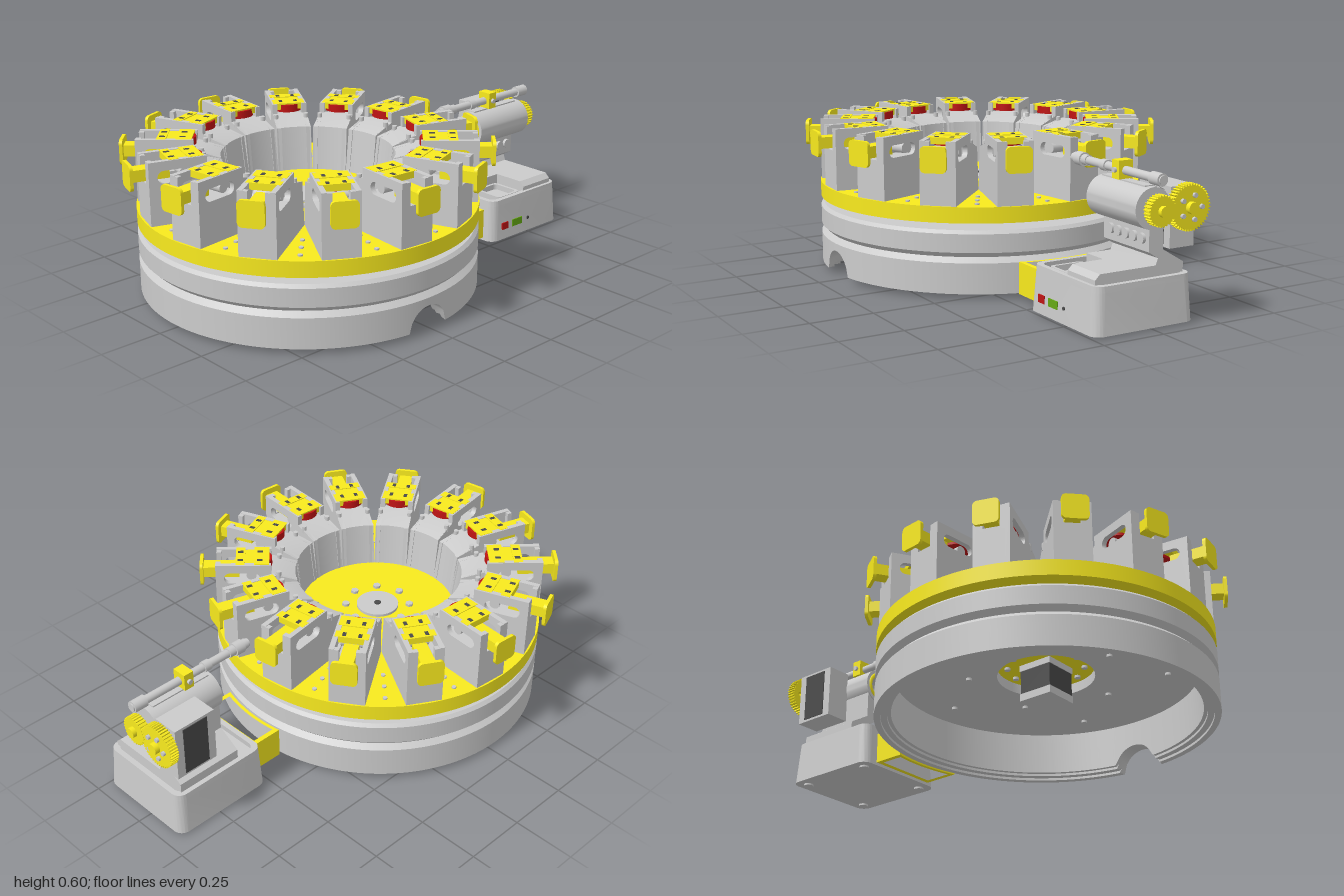
import * as THREE from 'three';
import { toCreasedNormals } from 'three/addons/utils/BufferGeometryUtils.js';

const mat = (c) => new THREE.MeshStandardMaterial({ color: c });
const grey = mat(0xcccccc), yellow = mat(0xf8ea1e), red = mat(0xc01414), green = mat(0x66aa14), dark = mat(0x4a4a4a);
const CX = -0.28; // turntable axis
const COUNT = 14;

function add(parent, name, geo, material, x = 0, y = 0, z = 0) {
  const m = new THREE.Mesh(geo, material);
  m.name = name;
  m.position.set(x, y, z);
  parent.add(m);
  return m;
}
// box given by its limits
function slab(parent, name, material, x0, x1, y0, y1, z0, z1) {
  return add(parent, name, new THREE.BoxGeometry(x1 - x0, y1 - y0, z1 - z0), material, (x0 + x1) / 2, (y0 + y1) / 2, (z0 + z1) / 2);
}
// cylinders along each axis
const cylY = (r, h, n = 24) => new THREE.CylinderGeometry(r, r, h, n);
const cylX = (r, h, n = 24) => cylY(r, h, n).rotateZ(Math.PI / 2);
const cylZ = (r, h, n = 24) => cylY(r, h, n).rotateX(Math.PI / 2);
const poly = (pts) => new THREE.Shape(pts.map((p) => new THREE.Vector2(...p)));
const extrude = (shape, depth, curveSegments = 8) => new THREE.ExtrudeGeometry(shape, { depth, bevelEnabled: false, curveSegments });
const lathe = (pts, n, ...arc) => new THREE.LatheGeometry(pts.map((p) => new THREE.Vector2(...p)), n, ...arc);

function roundedRect(w, h, r, C = THREE.Shape) {
  const s = new C(), a = w / 2 - r, b = h / 2 - r;
  s.absarc(a, b, r, 0, Math.PI / 2);
  s.absarc(-a, b, r, Math.PI / 2, Math.PI);
  s.absarc(-a, -b, r, Math.PI, Math.PI * 1.5);
  s.absarc(a, -b, r, Math.PI * 1.5, Math.PI * 2);
  s.closePath();
  return s;
}

function base(root) {
  const g = new THREE.Group();
  g.name = 'base';
  g.position.x = CX;
  root.add(g);
  // hollow drum with a V groove, stepped rim and a cable arch at the front
  const geo = lathe([[0.19, 0.25], [0.19, 0.21], [0.595, 0.21], [0.595, 0.04], [0.61, 0.04], [0.61, 0.03], [0.635, 0.03], [0.635, 0.02],
    [0.66, 0.02], [0.66, 0.14], [0.64, 0.16], [0.66, 0.18], [0.66, 0.252], [0.648, 0.265], [0.6, 0.265], [0.595, 0.25], [0.19, 0.25]], 360);
  const p = geo.attributes.position;
  for (let i = 0; i < p.count; i++) {
    const x = p.getX(i);
    if (p.getZ(i) > 0.5 && Math.abs(x) < 0.09) p.setY(i, Math.max(p.getY(i), 0.02 + Math.sqrt(0.0081 - x * x)));
  }
  add(g, 'drum', toCreasedNormals(geo, 0.5), grey);
  // drive motor hanging below the plate
  add(g, 'motorMount', cylY(0.2, 0.012, 48), yellow, 0, 0.256, 0);
  slab(g, 'motorBody', dark, -0.07, 0.07, 0.13, 0.23, -0.07, 0.07);
  slab(g, 'motorTopCap', grey, -0.073, 0.073, 0.225, 0.255, -0.073, 0.073);
  slab(g, 'motorBottomCap', grey, -0.073, 0.073, 0.1, 0.13, -0.073, 0.073);
  for (let i = 0; i < 10; i++) {
    const a = i * Math.PI / 5, r = i % 2 ? 0.3 : 0.47;
    add(g, 'baseScrew', cylY(0.012, 0.012, 10), grey, r * Math.cos(a), 0.206, r * Math.sin(a));
    add(g, 'mountScrew', cylY(0.012, 0.016, 10), grey, 0.15 * Math.cos(a), 0.248, 0.15 * Math.sin(a));
  }
}

function turntable(root) {
  const g = new THREE.Group();
  g.name = 'turntable';
  g.position.x = CX;
  root.add(g);
  add(g, 'disc', cylY(0.66, 0.062, 128), yellow, 0, 0.324, 0);
  add(g, 'hub', cylY(0.085, 0.012, 40), grey, 0, 0.36, 0);
  add(g, 'hubNut', cylY(0.014, 0.012, 12), dark, 0, 0.364, 0);
  add(g, 'spindle', cylY(0.02, 0.05, 32), grey, 0, 0.275, 0);
  for (let i = 0; i < 8; i++) {
    const a = i * Math.PI / 4, x = 0.13 * Math.cos(a), z = 0.13 * Math.sin(a);
    add(g, 'plateBolt', cylY(0.016, 0.012, 6), grey, x, 0.36, z);
    add(g, 'plateNut', cylY(0.017, 0.022, 6), grey, x, 0.284, z);
  }
  for (let k = 0; k < COUNT; k++) {
    const a = (17.9 * Math.PI) / 180 + (k * Math.PI * 2) / COUNT;
    const m = station();
    m.rotation.y = -a;
    g.add(m);
    const b = a + Math.PI / COUNT;
    for (const r of [0.47, 0.54, 0.61]) add(g, 'discScrew', cylY(0.009, 0.008, 8), grey, r * Math.cos(b), 0.357, r * Math.sin(b));
  }
}

// one holder, pointing outward along +x
function station() {
  const g = new THREE.Group();
  g.name = 'station';
  const outline = [[0.308, 0.355], [0.652, 0.355], [0.652, 0.6], [0.43, 0.6], [0.43, 0.56], [0.328, 0.53]];
  for (const s of [-1, 1]) {
    const side = poly(outline);
    const slot = new THREE.Path();
    slot.absarc(0.595, 0.54, 0.024, -Math.PI / 2, Math.PI / 2);
    slot.absarc(0.5, 0.54, 0.024, Math.PI / 2, Math.PI * 1.5);
    slot.closePath();
    side.holes.push(slot);
    add(g, 'sideWall', extrude(side, 0.02), grey, 0, 0, s * 0.06 - 0.01);
    // cheeks beside the tab opening
    slab(g, 'outerCheek', grey, 0.632, 0.652, 0.5, 0.598, s * 0.042 - 0.01, s * 0.042 + 0.01);
    add(g, 'topScrew', cylY(0.01, 0.03, 10), grey, 0.4, 0.552, s * 0.062);
  }
  // inner block with a face curved around the turntable axis, kept between the side walls
  const half = 0.222;
  const block = lathe([[0.45, 0.56], [0.43, 0.56], [0.335, 0.53], [0.314, 0.355]], 10, Math.PI / 2 - half, half * 2);
  const p = block.attributes.position;
  for (let i = 0; i < p.count; i++) p.setZ(i, THREE.MathUtils.clamp(p.getZ(i), -0.069, 0.069));
  add(g, 'innerBlock', toCreasedNormals(block, 0.5), innerGrey);
  slab(g, 'outerPlate', grey, 0.632, 0.652, 0.355, 0.51, -0.05, 0.05);
  slab(g, 'innerFloor', grey, 0.43, 0.635, 0.49, 0.505, -0.05, 0.05);
  add(g, 'roller', cylZ(0.02, 0.1, 20), grey, 0.51, 0.54, 0);
  add(g, 'redSeat', cylY(0.06, 0.03, 32), red, 0.487, 0.58, 0);
  // latch plates on top, with slots
  slab(g, 'latchPlate', yellow, 0.438, 0.498, 0.575, 0.601, -0.064, 0.064);
  slab(g, 'latchBridge', yellow, 0.498, 0.535, 0.575, 0.598, -0.05, 0.05);
  slab(g, 'latchFront', yellow, 0.535, 0.572, 0.575, 0.601, -0.064, 0.064);
  for (const s of [-1, 1]) for (const x of [0.475, 0.553]) slab(g, 'latchSlot', dark, x - 0.011, x + 0.011, 0.595, 0.602, s * 0.03 - 0.007, s * 0.03 + 0.007);
  // pull tab
  slab(g, 'tabStem', yellow, 0.56, 0.705, 0.52, 0.565, -0.028, 0.028);
  add(g, 'tabPlate', extrude(roundedRect(0.1, 0.1, 0.018), 0.013).rotateY(Math.PI / 2), yellow, 0.703, 0.54, 0);
  return g;
}
const innerGrey = new THREE.MeshStandardMaterial({ color: 0xcccccc, side: THREE.DoubleSide });

function gear(r, teeth, holes) {
  const pts = [];
  for (let i = 0; i < teeth; i++) {
    [[0, 0.92], [0.28, 0.92], [0.42, 1], [0.72, 1], [0.86, 0.92]].forEach(([t, k]) => {
      const a = ((i + t) / teeth) * Math.PI * 2;
      pts.push([r * k * Math.cos(a), r * k * Math.sin(a)]);
    });
  }
  const s = poly(pts);
  for (let i = 0; i < holes; i++) {
    const a = (i * Math.PI * 2) / holes, h = new THREE.Path();
    h.absarc(0.55 * r * Math.cos(a), 0.55 * r * Math.sin(a), 0.1 * r, 0, Math.PI * 2);
    s.holes.push(h);
  }
  return extrude(s, 0.035).rotateY(Math.PI / 2);
}

function controlBox(root) {
  const g = new THREE.Group();
  g.name = 'controlBox';
  root.add(g);
  const BX = 0.73, BZ = 0.035;
  // tapered housing with a raised rim
  const taper = (shape, y0, h) => {
    const geo = extrude(shape, h).rotateX(-Math.PI / 2).translate(0, y0, 0), p = geo.attributes.position;
    for (let i = 0; i < p.count; i++) {
      const k = 1 - (0.05 * p.getY(i)) / 0.18;
      p.setX(i, p.getX(i) * k);
      p.setZ(i, p.getZ(i) * k);
    }
    return toCreasedNormals(geo, 0.5);
  };
  add(g, 'housing', taper(roundedRect(0.43, 0.43, 0.04), 0.008, 0.152), grey, BX, 0, BZ);
  const rim = roundedRect(0.43, 0.43, 0.04);
  rim.holes.push(roundedRect(0.385, 0.385, 0.03, THREE.Path));
  add(g, 'housingRim', taper(rim, 0.16, 0.023), grey, BX, 0, BZ);
  const tray = roundedRect(0.13, 0.14, 0.02);
  tray.holes.push(roundedRect(0.105, 0.115, 0.015, THREE.Path));
  add(g, 'trayRim', extrude(tray, 0.025).rotateX(-Math.PI / 2), grey, 0.66, 0.158, 0.145);
  for (const x of [-1, 1]) for (const z of [-1, 1]) add(g, 'foot', cylY(0.02, 0.01, 20), grey, BX + x * 0.165, 0.005, BZ + z * 0.165);
  slab(g, 'redButton', red, 0.58, 0.618, 0.05, 0.08, 0.23, 0.25);
  slab(g, 'greenSwitch', green, 0.645, 0.705, 0.05, 0.08, 0.23, 0.25);
  add(g, 'knob', cylZ(0.007, 0.02, 12), dark, 0.745, 0.065, 0.24);

  // pedestal carrying the drive
  const side = poly([[0.075, 0.15], [0.075, 0.22], [-0.03, 0.22], [-0.04, 0.245], [0, 0.27], [0, 0.4], [-0.06, 0.4], [-0.06, 0.275], [-0.15, 0.22], [-0.15, 0.15]]);
  add(g, 'pedestal', extrude(side, 0.275).rotateY(-Math.PI / 2), grey, 0.905, 0, 0);
  const step = poly([[0.075, 0.15], [0.225, 0.15], [0.225, 0.2], [0.205, 0.22], [0.075, 0.22]]);
  add(g, 'pedestalStep', extrude(step, 0.17).rotateY(-Math.PI / 2), grey, 0.905, 0, 0);
  for (let i = 0; i < 5; i++) add(g, 'pedestalBolt', cylZ(0.019, 0.016, 20), grey, 0.68 + i * 0.047, 0.315, 0.004);
}

function drive(root) {
  const g = new THREE.Group();
  g.name = 'drive';
  root.add(g);
  // hollow barrel, open towards the turntable
  const barrel = lathe([[0.05, 0], [0.075, 0], [0.075, 0.3], [0, 0.3], [0, 0.27], [0.05, 0.27], [0.05, 0]], 48);
  add(g, 'barrel', toCreasedNormals(barrel, 0.5).rotateZ(-Math.PI / 2), innerGrey, 0.625, 0.43, 0);
  add(g, 'barrelCollar', new THREE.TorusGeometry(0.053, 0.01, 10, 40).rotateY(Math.PI / 2), yellow, 0.63, 0.43, 0);
  slab(g, 'shaftSaddle', grey, 0.64, 0.9, 0.49, 0.508, -0.018, 0.018);
  // side motor
  slab(g, 'sideMotor', grey, 0.75, 0.93, 0.28, 0.5, -0.175, -0.07);
  slab(g, 'sideMotorCore', dark, 0.785, 0.895, 0.29, 0.49, -0.178, -0.07);
  // gear pair
  add(g, 'smallGear', gear(0.057, 28, 0), yellow, 0.945, 0.43, 0);
  add(g, 'largeGear', gear(0.085, 44, 5), yellow, 0.942, 0.43, -0.123);
  for (const [z, r] of [[0, 0.02], [-0.123, 0.022]]) {
    add(g, 'gearAxle', cylX(0.011, 0.09), grey, 0.95, 0.43, z);
    add(g, 'gearHub', cylX(r, 0.02), yellow, 0.987, 0.43, z);
  }
  for (let i = 0; i < 5; i++) {
    const a = ((i + 0.5) * Math.PI * 2) / 5;
    add(g, 'gearScrew', cylX(0.009, 0.014, 10), grey, 0.98, 0.43 + 0.045 * Math.sin(a), -0.123 + 0.045 * Math.cos(a));
  }
  // push rod: radius, start x, end x
  for (const [r, a, b] of [[0.016, 0.43, 0.98], [0.02, 0.44, 0.46], [0.026, 0.46, 0.5], [0.02, 0.5, 0.53], [0.021, 0.62, 0.65], [0.023, 0.92, 0.975]])
    add(g, 'pushRod', cylX(r, b - a), grey, (a + b) / 2, 0.538, 0);
  slab(g, 'rodClamp', yellow, 0.718, 0.76, 0.507, 0.575, -0.03, 0.03);
  add(g, 'clampScrew', cylZ(0.01, 0.08, 12), grey, 0.739, 0.54, 0);
}

// open yellow frame tying the box to the base
function connector(root) {
  const s = new THREE.Shape();
  s.absarc(CX, 0, 0.672, -0.3, 0.165);
  s.lineTo(0.515, 0.11);
  s.lineTo(0.515, -0.2);
  s.closePath();
  const h = new THREE.Path();
  h.absarc(CX, 0, 0.686, -0.265, 0.132);
  h.lineTo(0.495, 0.09);
  h.lineTo(0.495, -0.18);
  h.closePath();
  s.holes.push(h);
  add(root, 'connectorFrame', extrude(s, 0.125, 16).rotateX(-Math.PI / 2), yellow, 0, 0.02, 0);
}

export function createModel() {
  const root = new THREE.Group();
  root.name = 'carousel';
  base(root);
  turntable(root);
  controlBox(root);
  drive(root);
  connector(root);
  return root;
}
